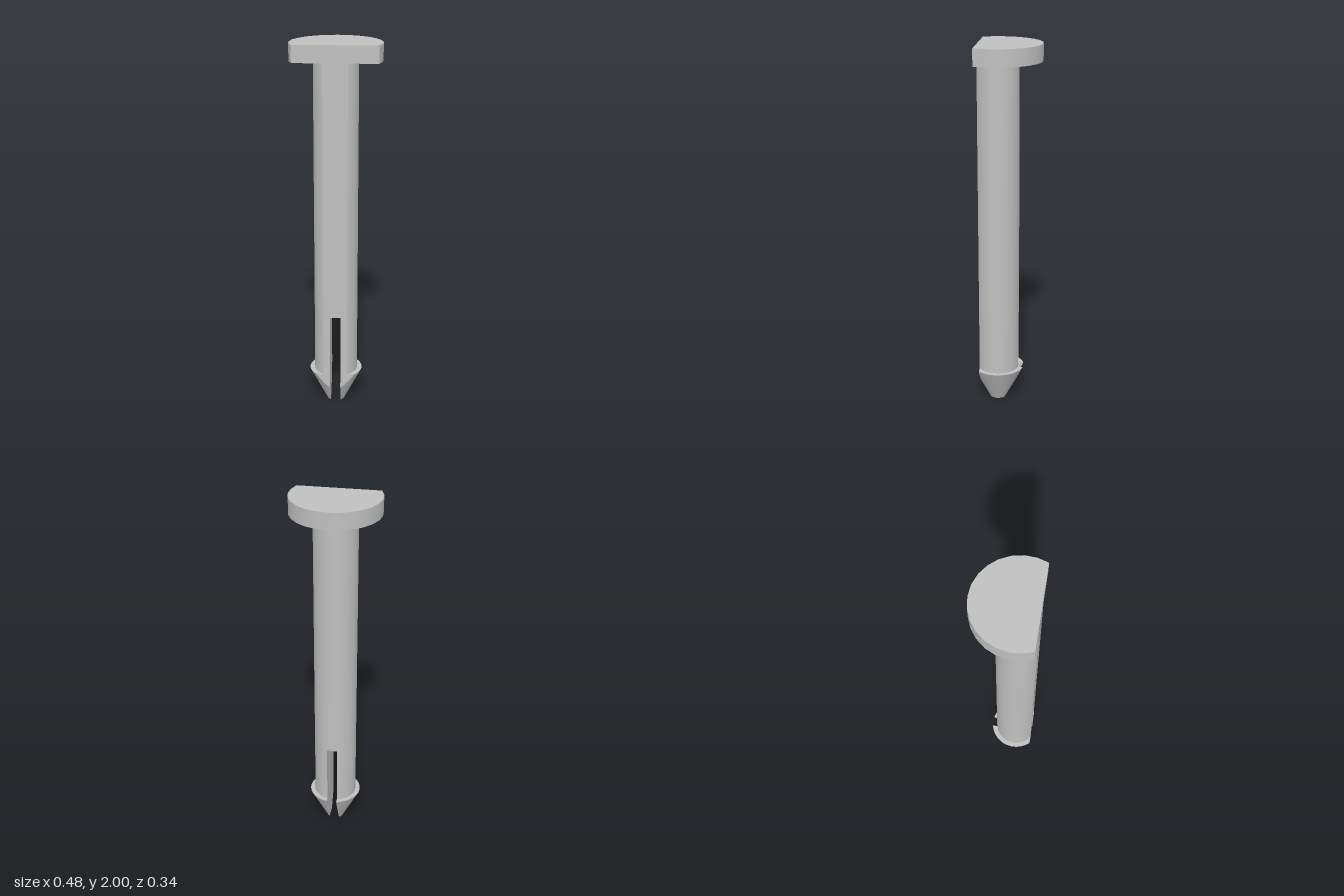
import * as THREE from 'three';
import { toCreasedNormals } from 'three/addons/utils/BufferGeometryUtils.js';

const AXIS_Z = 0.07;   // centre line of the round sections
const FLAT = 0.098;    // distance from the centre line to the flat front
const SLOT = 0.028;    // half width of the slot
const HEAD_R = 0.24, SHAFT_R = 0.117, BARB_R = 0.143, POINT_R = 0.048;
const BARB_Y = 0.19, SLOT_Y = 0.53, HEAD_Y = 1.91, TOP_Y = 2;

function arc(r, from, to, n) {
  return Array.from({ length: n + 1 }, (_, i) => {
    const a = from + (to - from) * i / n;
    return [r * Math.cos(a), r * Math.sin(a)];
  });
}

// Circle with its front cut off flat
function fullSection(r, n) {
  const a = Math.asin(FLAT / r);
  return arc(r, a, -Math.PI - a, n);
}

// One side of the cut circle, outside the slot
function halfSection(r, side, n = 24) {
  const edge = Math.acos(SLOT / r);
  const start = Math.min(edge, Math.asin(Math.min(1, FLAT / r)));
  const pts = [[SLOT, r * Math.sin(edge) < FLAT ? r * Math.sin(edge) : FLAT], ...arc(r, start, -edge, n)];
  return side > 0 ? pts : pts.map(([x, z]) => [-x, z]).reverse();
}

// Skin a stack of convex sections and cap both ends
function loft(levels) {
  const rings = levels.map(({ y, pts }) => pts.map(([x, z]) => new THREE.Vector3(x, y, z + AXIS_Z)));
  const pos = [];
  const tri = (a, b, c) => {
    const area = b.clone().sub(a).cross(c.clone().sub(a)).length();
    if (area > 1e-9) for (const p of [a, b, c]) pos.push(p.x, p.y, p.z);
  };
  const n = rings[0].length;
  for (let k = 0; k + 1 < rings.length; k++) {
    const lo = rings[k], hi = rings[k + 1];
    for (let i = 0; i < n; i++) {
      const j = (i + 1) % n;
      tri(lo[i], lo[j], hi[j]);
      tri(lo[i], hi[j], hi[i]);
    }
  }
  const bottom = rings[0], top = rings[rings.length - 1];
  for (let i = 1; i + 1 < n; i++) {
    tri(bottom[0], bottom[i + 1], bottom[i]);
    tri(top[0], top[i], top[i + 1]);
  }
  const geo = new THREE.BufferGeometry();
  geo.setAttribute('position', new THREE.Float32BufferAttribute(pos, 3));
  return toCreasedNormals(geo, 0.5);
}

export function createModel() {
  const group = new THREE.Group();
  group.name = 'splitPin';
  const grey = new THREE.MeshStandardMaterial({ color: 0xbfbfbf });
  grey.name = 'grey';
  const add = (name, levels) => {
    const mesh = new THREE.Mesh(loft(levels), grey);
    mesh.name = name;
    group.add(mesh);
  };
  const prism = (y0, y1, pts) => [{ y: y0, pts }, { y: y1, pts }];

  // Head and solid upper shaft
  add('head', prism(HEAD_Y, TOP_Y, fullSection(HEAD_R, 16)));
  add('shaft', prism(SLOT_Y, HEAD_Y, fullSection(SHAFT_R, 48)));

  // Split legs, each ending in half of a barbed cone
  const rimR = Math.hypot(FLAT, SLOT);   // radius where the flat starts to cut the cone
  const radii = [POINT_R, FLAT];
  for (let i = 0; i <= 6; i++) radii.push(rimR + (BARB_R - rimR) * i / 6);
  for (const side of [1, -1]) {
    const label = side > 0 ? 'left' : 'right';
    add(label + 'Leg', prism(BARB_Y, SLOT_Y, halfSection(SHAFT_R, side)));
    add(label + 'Barb', radii.map((r) => ({
      y: BARB_Y * (r - POINT_R) / (BARB_R - POINT_R),
      pts: halfSection(r, side),
    })));
  }
  return group;
}
